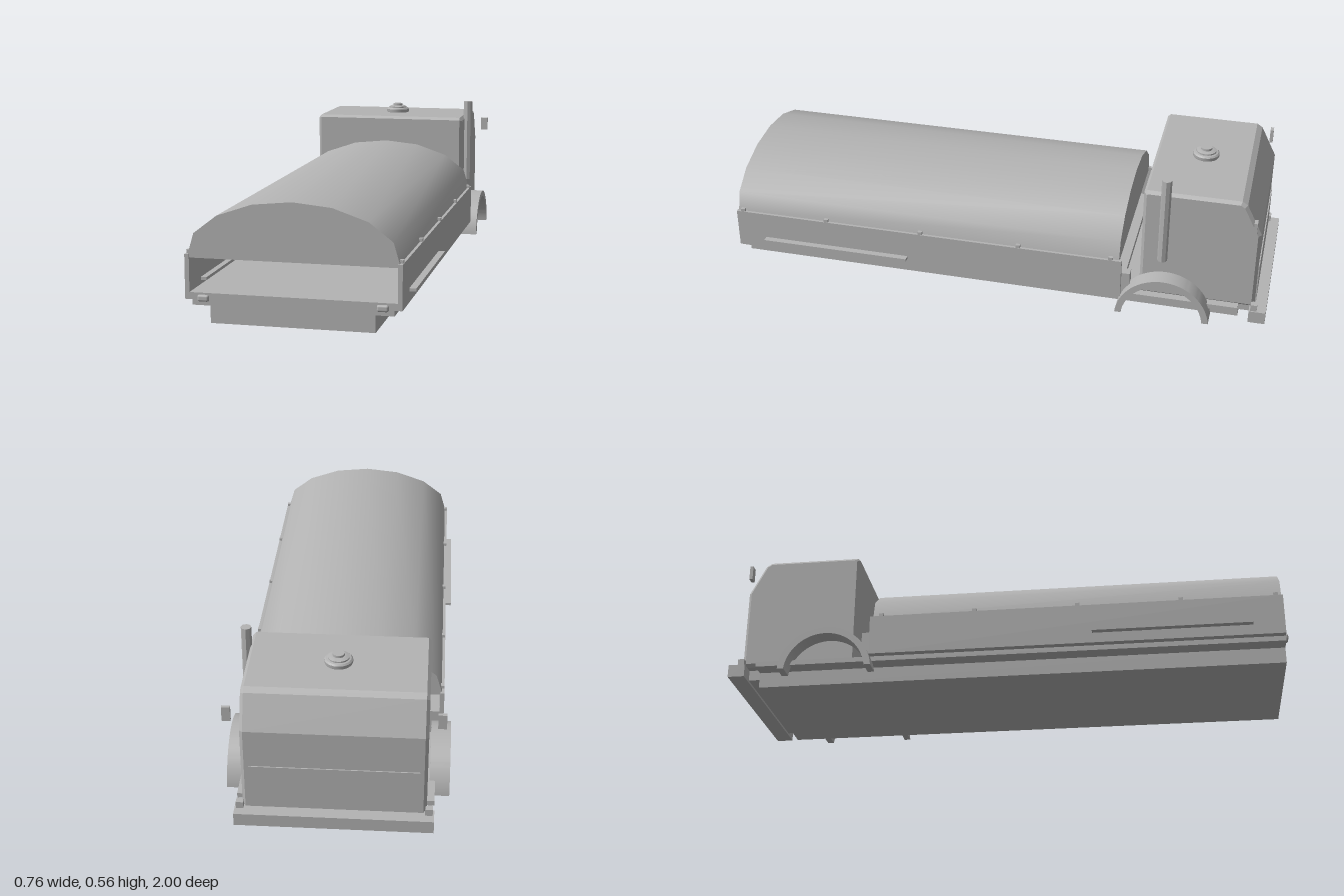
import * as THREE from 'three';
import { toCreasedNormals } from 'three/addons/utils/BufferGeometryUtils.js';
import { RoundedBoxGeometry } from 'three/addons/geometries/RoundedBoxGeometry.js';

export function createModel() {
  const group = new THREE.Group();
  const grey = new THREE.MeshStandardMaterial({ color: 0xb3b3b3 });
  grey.name = 'plainGrey';

  const add = (name, geometry) => {
    const mesh = new THREE.Mesh(geometry, grey);
    mesh.name = name;
    group.add(mesh);
    return mesh;
  };
  // Box given by its limits on each axis
  const box = (name, x0, x1, y0, y1, z0, z1) =>
    add(name, new THREE.BoxGeometry(x1 - x0, y1 - y0, z1 - z0))
      .position.set((x0 + x1) / 2, (y0 + y1) / 2, (z0 + z1) / 2);
  // The same box on both sides
  const pair = (name, x0, x1, y0, y1, z0, z1) => {
    box(name + 'Left', x0, x1, y0, y1, z0, z1);
    box(name + 'Right', -x1, -x0, y0, y1, z0, z1);
  };
  // Side profile drawn in (z, y), extruded across x and centred
  const across = (shape, width, bevel = 0) => {
    const g = new THREE.ExtrudeGeometry(shape, {
      depth: width - 2 * bevel, curveSegments: 24, bevelEnabled: bevel > 0,
      bevelSize: bevel, bevelThickness: bevel, bevelOffset: -bevel, bevelSegments: 1,
    });
    g.translate(0, 0, -(width - 2 * bevel) / 2);
    g.rotateY(-Math.PI / 2);
    return g;
  };
  const outline = (pts) => new THREE.Shape(pts.map(([a, b]) => new THREE.Vector2(a, b)));

  // Chassis
  box('chassis', -0.27, 0.27, 0, 0.057, -0.9, 0.99);
  box('deck', -0.33, 0.33, 0.057, 0.075, -0.9, 0.99);
  box('bumper', -0.33, 0.33, 0.022, 0.068, -1, -0.94);
  box('bumperMount', -0.27, 0.27, 0.03, 0.068, -0.94, -0.9);
  pair('bumperPost', 0.3, 0.325, 0.068, 0.092, -0.968, -0.945);

  // Cargo body, open at both ends
  box('cargoFloor', -0.34, 0.34, 0.075, 0.098, -0.48, 0.99);
  pair('cargoWall', 0.34, 0.355, 0.075, 0.222, -0.48, 0.99);
  box('cargoCeiling', -0.34, 0.34, 0.21, 0.222, -0.47, 0.985);
  pair('sideRail', 0.32, 0.378, 0.112, 0.122, 0.32, 0.88);
  pair('rearBracket', 0.305, 0.34, 0.075, 0.165, -0.51, -0.48);
  for (const z of [0.965, 0.635, 0.27, -0.1, -0.44])
    pair('coverHook', 0.34, 0.354, 0.222, 0.233, z - 0.008, z + 0.008);

  // Arched cover
  const half = [[0.345, 0.222], [0.325, 0.29], [0.247, 0.35], [0.13, 0.39]];
  const arch = outline([...half, [0, 0.403], ...half.map(([x, y]) => [-x, y]).reverse()]);
  const cover = new THREE.ExtrudeGeometry(arch, { depth: 1.455, bevelEnabled: false });
  cover.translate(0, 0, -0.47);
  add('archedCover', toCreasedNormals(cover, 0.7));

  // Cab with sloped windscreen and chamfered edges
  add('cab', across(outline([
    [-0.957, 0.07], [-0.957, 0.37], [-0.9, 0.482], [-0.88, 0.495],
    [-0.55, 0.495], [-0.54, 0.485], [-0.54, 0.07],
  ].reverse()), 0.61, 0.011));
  box('grillePanel', -0.28, 0.28, 0.08, 0.235, -0.961, -0.955);

  // Roof vent
  const vent = [[0, 0.49], [0.044, 0.49], [0.048, 0.5], [0.048, 0.508], [0.043, 0.513],
    [0.036, 0.514], [0.036, 0.519], [0.03, 0.522], [0.02, 0.523], [0.02, 0.531], [0, 0.531]];
  const ventGeo = new THREE.LatheGeometry(vent.map(([r, y]) => new THREE.Vector2(r, y)), 24);
  add('roofVent', toCreasedNormals(ventGeo, 0.5)).position.z = -0.72;

  // Exhaust stack
  const stack = new THREE.CylinderGeometry(0.018, 0.018, 0.327, 8);
  add('exhaustStack', toCreasedNormals(stack, 0.5)).position.set(0.318, 0.3935, -0.62);

  // Mirrors
  pair('mirror', 0.332, 0.36, 0.4, 0.452, -0.942, -0.93);

  // Wheel arches
  const fender = new THREE.Shape();
  const a = 0.1;
  fender.absarc(0, 0, 0.17, a, Math.PI - a, false);
  fender.absarc(0, 0, 0.147, Math.PI - a * 1.15, a * 1.15, true);
  const fenderGeo = toCreasedNormals(across(fender, 0.068), 0.5);
  for (const s of [1, -1]) {
    const side = s > 0 ? 'Left' : 'Right';
    add('wheelArch' + side, fenderGeo).position.set(s * 0.346, 0.006, -0.635);
    // Lamps on the open end
    add('lamp' + side, new RoundedBoxGeometry(0.038, 0.022, 0.016, 3, 0.007))
      .position.set(s * 0.293, 0.081, 0.992);
  }
  return group;
}
